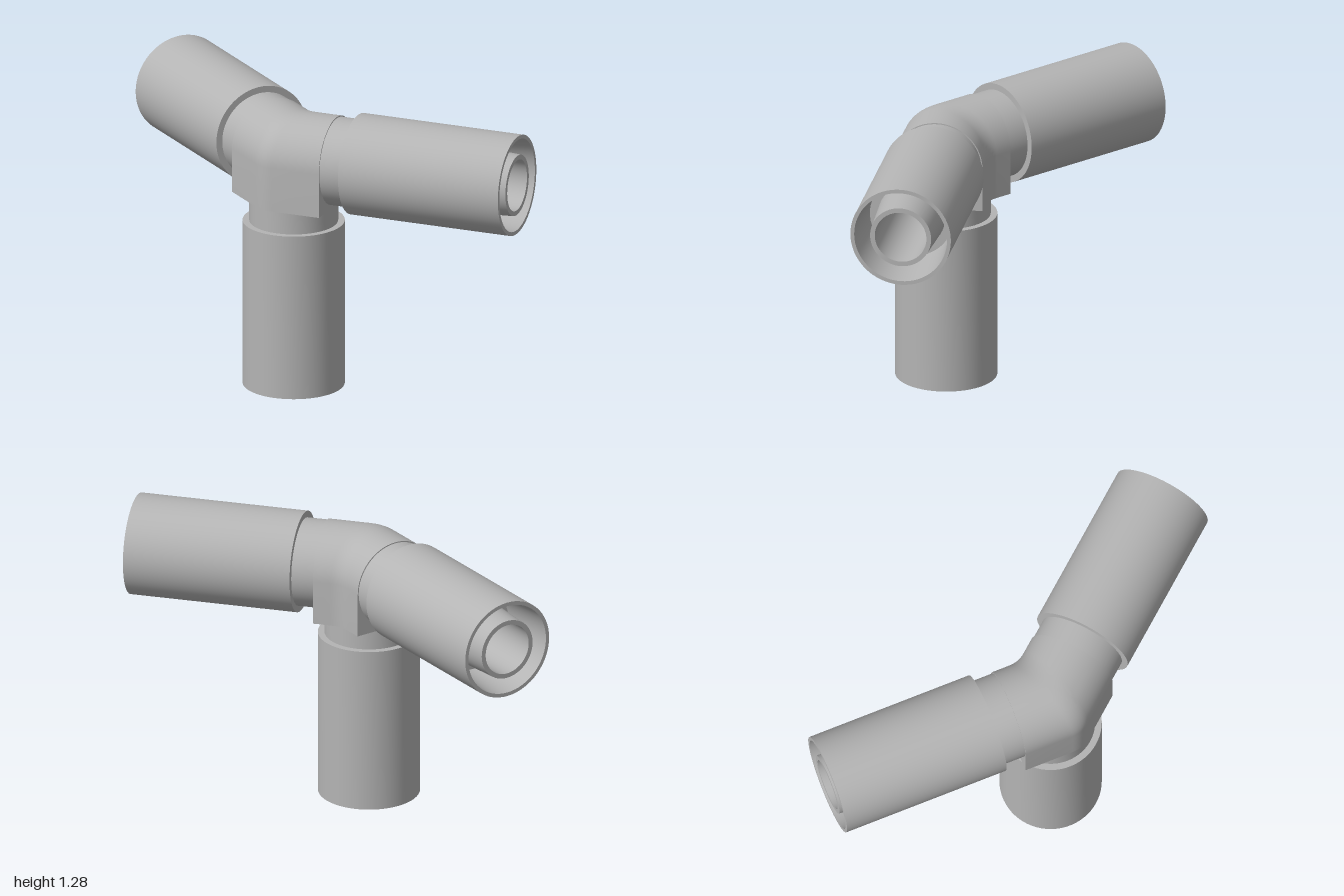
import * as THREE from 'three';
import { toCreasedNormals } from 'three/addons/utils/BufferGeometryUtils.js';

const BEND = THREE.MathUtils.degToRad(40);
const CORE = 0.2;        // half width of the elbow body and distance to its ends
const BORE = 0.115;
const FILLET = 0.05;

const dirA = new THREE.Vector3(1, 0, 0);
const dirB = new THREE.Vector3(-Math.cos(BEND), 0, -Math.sin(BEND));
const sideB = new THREE.Vector3(-Math.sin(BEND), 0, Math.cos(BEND));

// Points of an arc of given radius, counter-clockwise
function arc(radius, sweep, steps) {
  return Array.from({ length: steps + 1 }, (_, i) => {
    const a = (sweep * i) / steps;
    return new THREE.Vector2(radius * Math.cos(a), radius * Math.sin(a));
  });
}

// Carries a closed section round the bend with a softened mitre
function elbow(section) {
  const rings = 11, n = section.length, pos = [], index = [];
  for (let i = 0; i < rings; i++) {
    for (const { x: u, y: v } of section) {
      const mitre = new THREE.Vector3(-u * Math.tan(BEND / 2), 0, u);
      let p;
      if (i === 0) p = new THREE.Vector3(CORE, 0, u);
      else if (i === rings - 1) p = dirB.clone().multiplyScalar(CORE).addScaledVector(sideB, u);
      else {
        const start = mitre.clone().addScaledVector(dirA, FILLET);
        const end = mitre.clone().addScaledVector(dirB, FILLET);
        p = new THREE.QuadraticBezierCurve3(start, mitre, end).getPoint((i - 1) / (rings - 3));
      }
      pos.push(p.x, v, p.z);
    }
  }
  for (let i = 0; i < rings - 1; i++) {
    for (let j = 0; j < n; j++) {
      const a = i * n + j, b = i * n + ((j + 1) % n);
      index.push(a, b, a + n, b, b + n, a + n);
    }
  }
  const geo = new THREE.BufferGeometry();
  geo.setAttribute('position', new THREE.Float32BufferAttribute(pos, 3));
  geo.setIndex(index);
  return toCreasedNormals(geo, 0.5);
}

// Neck, sleeve, recessed socket, inner spigot and bore as one turned profile
function armGeometry() {
  const profile = [
    [0.195, 0.18], [0.195, 0.3], [0.224, 0.3], [0.224, 1.055], [0.207, 1.055],
    [0.186, 0.8], [0.149, 0.8], [0.136, 1.055], [BORE, 1.055], [BORE, CORE],
  ].map(([r, y]) => new THREE.Vector2(r, y));
  return toCreasedNormals(new THREE.LatheGeometry(profile, 64), 0.5);
}

export function createModel() {
  const model = new THREE.Group();
  model.name = 'threeWayPipeFitting';
  const fitting = new THREE.Group();
  fitting.name = 'fitting';
  fitting.position.set(-0.055, 1.055, 0.312);
  model.add(fitting);

  const grey = new THREE.MeshStandardMaterial({ color: 0xb4b4b4 });
  grey.name = 'plainGrey';
  const add = (name, geo) => {
    const mesh = new THREE.Mesh(geo, grey);
    mesh.name = name;
    fitting.add(mesh);
    return mesh;
  };

  // Elbow body: round on top, square below
  const section = [
    ...arc(CORE, Math.PI, 32),
    new THREE.Vector2(-CORE, -CORE),
    new THREE.Vector2(CORE, -CORE),
  ];
  add('elbowBody', elbow(section));

  // Passage through the elbow, facing inward
  add('elbowBore', elbow(arc(BORE, Math.PI * 2, 64).slice(0, -1).reverse()));

  // End faces of the body, open for the passage
  const face = new THREE.Shape(section);
  face.holes.push(new THREE.Path().absarc(0, 0, 0.15, 0, Math.PI * 2, true));
  const faceGeo = new THREE.ShapeGeometry(face, 32);
  for (const [name, dir] of [['leftBodyEnd', dirA], ['rightBodyEnd', dirB]]) {
    const end = add(name, faceGeo);
    end.position.copy(dir).multiplyScalar(CORE);
    end.rotation.y = Math.atan2(dir.x, dir.z);
  }

  // Three identical sleeved arms
  const up = new THREE.Vector3(0, 1, 0);
  const armGeo = armGeometry();
  const arms = { leftArm: dirA, rightArm: dirB, lowerArm: new THREE.Vector3(0, -1, 0) };
  for (const [name, dir] of Object.entries(arms)) {
    add(name, armGeo).quaternion.setFromUnitVectors(up, dir);
  }
  return model;
}
